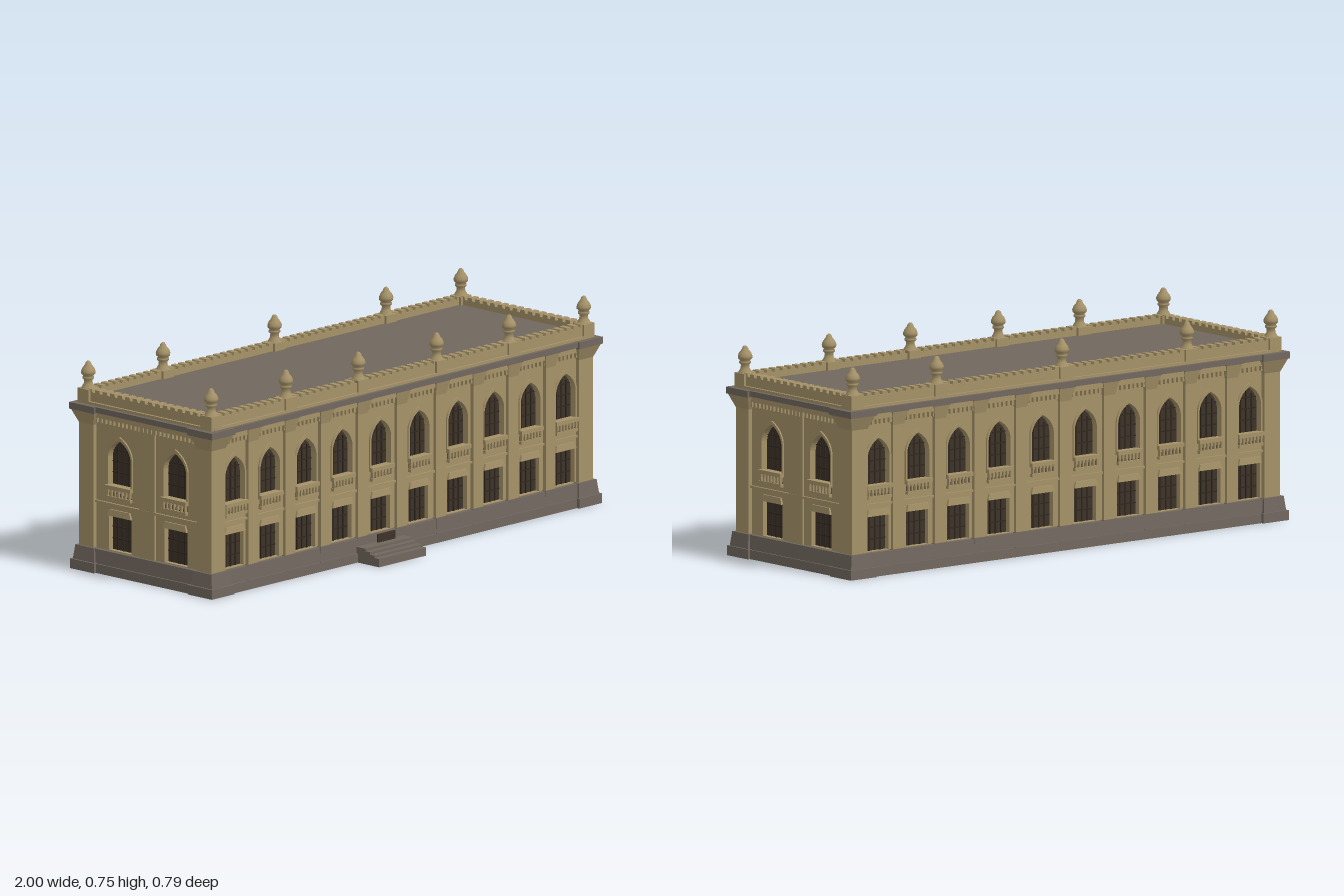
import * as THREE from 'three';

const mat = (name, color) => Object.assign(new THREE.MeshStandardMaterial({ color }), { name });
const sand = mat('sandstone', 0xa59268);
const stone = mat('grey stone', 0x71675f);
const dark = mat('dark window', 0x3d3228);
const bar = mat('window bars', 0x30271f);

const HX = 0.975, HZ = 0.3225, CZ = -0.0425; // half sizes at the pier faces, centre in z

function add(parent, name, geo, material, x = 0, y = 0, z = 0) {
  const m = new THREE.Mesh(geo, material);
  m.name = name;
  m.position.set(x, y, z);
  parent.add(m);
  return m;
}
// Box standing from y0 to y1
const box = (p, name, m, x, z, w, d, y0, y1) =>
  add(p, name, new THREE.BoxGeometry(w, y1 - y0, d), m, x, (y0 + y1) / 2, z);

// Box whose top is w1 x d1 and bottom w0 x d0
function taper(p, name, m, x, z, w0, d0, w1, d1, y0, y1) {
  const g = new THREE.BoxGeometry(1, y1 - y0, 1), a = g.attributes.position;
  for (let i = 0; i < a.count; i++) {
    const top = a.getY(i) > 0;
    a.setX(i, a.getX(i) * (top ? w1 : w0));
    a.setZ(i, a.getZ(i) * (top ? d1 : d0));
  }
  g.computeVertexNormals();
  return add(p, name, g, m, x, (y0 + y1) / 2, z);
}

// Pointed arch outline, or a plain rectangle when spring equals top
function opening(C, x, w, y0, spring, top) {
  const s = new C();
  s.moveTo(x - w, y0);
  s.lineTo(x + w, y0);
  s.lineTo(x + w, spring);
  if (top > spring) {
    s.quadraticCurveTo(x + w * 0.9, spring + (top - spring) * 0.65, x, top);
    s.quadraticCurveTo(x - w * 0.9, spring + (top - spring) * 0.65, x - w, spring);
  } else s.lineTo(x - w, spring);
  s.closePath();
  return s;
}
const extrude = (s, depth) => new THREE.ExtrudeGeometry(s, { depth, bevelEnabled: false, curveSegments: 8 });

// Pier with plinth, bracket and cornice block
function pier(p, x, z, w, d, out) {
  box(p, 'pier', sand, x, z, w, d, 0.08, 0.585);
  box(p, 'pierFoot', stone, x, z, w + out * 1.8, d + out * 1.8, 0, 0.035);
  taper(p, 'pierPlinth', stone, x, z, w + out * 1.2, d + out * 1.2, w + out * 0.7, d + out * 0.7, 0.035, 0.086);
  taper(p, 'pierBracket', sand, x, z, w, d, w + out * 1.6, d + out * 1.6, 0.53, 0.578);
  box(p, 'pierCornice', stone, x, z, w + out * 2, d + out * 2, 0.578, 0.602);
}

const finialGeo = new THREE.LatheGeometry([
  [0.025, 0], [0.022, 0.008], [0.016, 0.018], [0.015, 0.03], [0.021, 0.036], [0.021, 0.042], [0.017, 0.045],
  [0.025, 0.053], [0.026, 0.062], [0.021, 0.074], [0.012, 0.085], [0.01, 0.092], [0.005, 0.098], [0, 0.099],
].map(([r, y]) => new THREE.Vector2(r, y)), 14);
function finial(p, x, z) {
  box(p, 'finialPedestal', sand, x, z, 0.054, 0.054, 0.6, 0.654);
  add(p, 'finial', finialGeo, sand, x, 0.652, z);
}

// One bay: glazing, bars, arch moulding, small balustrade
function bay(p, x, w) {
  box(p, 'lowerGlass', dark, x, -0.037, w * 2, 0.006, 0.083, 0.212);
  box(p, 'upperGlass', dark, x, -0.037, w * 2, 0.006, 0.322, 0.492);
  for (const k of [-1, 0, 1]) {
    box(p, 'lowerBar', bar, x + k * w * 0.5, -0.033, 0.004, 0.006, 0.085, 0.21);
    box(p, 'upperBar', bar, x + k * w * 0.5, -0.033, 0.004, 0.006, 0.325, k ? 0.46 : 0.488);
  }
  for (const y of [0.125, 0.168, 0.365, 0.405, 0.445])
    box(p, 'crossBar', bar, x, -0.033, w * 1.9, 0.005, y, y + 0.004);
  const frame = opening(THREE.Shape, x, w + 0.007, 0.322, 0.428, 0.503);
  frame.holes.push(opening(THREE.Path, x, w, 0.323, 0.425, 0.49));
  add(p, 'archMoulding', extrude(frame, 0.007), sand, 0, 0, -0.016);
  taper(p, 'lowerLintel', sand, x, -0.012, w * 2.1, 0.012, w * 1.8, 0.006, 0.212, 0.235);
  // balustrade under the upper window
  box(p, 'sill', sand, x, -0.008, w * 2 + 0.014, 0.02, 0.31, 0.324);
  box(p, 'balustradeShadow', dark, x, -0.013, w * 2, 0.006, 0.284, 0.31);
  for (let i = 0; i < 7; i++)
    taper(p, 'baluster', sand, x + (i / 3 - 1) * w * 0.95, -0.007, 0.006, 0.01, 0.01, 0.012, 0.284, 0.311);
  box(p, 'balustradeFoot', sand, x, -0.009, w * 2 + 0.008, 0.016, 0.274, 0.285);
}

// One side of the building; local z = 0 is the pier face
function facade(name, length, bays, piers, pierW, w) {
  const g = new THREE.Group();
  g.name = name;
  const h = length / 2 - 0.03;
  const wall = new THREE.Shape([[-h, 0.08], [h, 0.08], [h, 0.585], [-h, 0.585]].map(a => new THREE.Vector2(...a)));
  for (const x of bays) {
    wall.holes.push(opening(THREE.Path, x, w, 0.086, 0.21, 0.21), opening(THREE.Path, x, w, 0.323, 0.425, 0.49));
    bay(g, x, w);
  }
  add(g, 'wall', extrude(wall, 0.028), sand, 0, 0, -0.043);
  for (const x of piers) pier(g, x, -0.017, pierW, 0.03, 0.013);
  // base, frieze, cornice
  box(g, 'foot', stone, 0, -0.02, h * 2, 0.064, 0, 0.033);
  taper(g, 'plinth', stone, 0, -0.025, h * 2, 0.062, h * 2, 0.054, 0.033, 0.084);
  box(g, 'stringCourse', sand, 0, -0.013, h * 2, 0.012, 0.25, 0.258);
  box(g, 'frieze', sand, 0, -0.015, h * 2, 0.034, 0.56, 0.582);
  box(g, 'cornice', stone, 0, -0.02, h * 2, 0.075, 0.582, 0.602);
  const n = Math.round(h * 2 / 0.02);
  for (let i = 0; i < n; i++)
    box(g, 'dentil', sand, -h + (i + 0.5) * h * 2 / n, -0.01, 0.011, 0.014, 0.541, 0.562);
  // parapet with merlons
  box(g, 'parapet', sand, 0, -0.023, length - 0.03, 0.036, 0.6, 0.645);
  box(g, 'parapetMoulding', sand, 0, -0.02, length - 0.02, 0.048, 0.6, 0.612);
  const c = Math.round(h * 2 / 0.036);
  for (let i = 0; i < c; i++)
    taper(g, 'merlon', sand, -h + (i + 0.5) * h * 2 / c, -0.023, 0.025, 0.036, 0.02, 0.036, 0.645, 0.656);
  return g;
}

export function createModel() {
  const model = new THREE.Group();
  model.name = 'palaceBuilding';
  const b = new THREE.Group();
  b.name = 'building';
  b.position.z = CZ;
  model.add(b);

  // Inner core and flat roof
  box(b, 'core', sand, 0, 0, HX * 2 - 0.08, HZ * 2 - 0.08, 0.001, 0.6);
  box(b, 'roof', stone, 0, 0, HX * 2 - 0.07, HZ * 2 - 0.07, 0.6, 0.625);
  box(b, 'underside', stone, 0, 0, HX * 2 - 0.02, HZ * 2 - 0.02, 0, 0.02);

  // Four facades
  const mirror = a => a.flatMap(v => [v, -v]);
  const longBays = mirror([0.098, 0.295, 0.48, 0.665, 0.845]);
  const longPiers = [0, ...mirror([0.2, 0.39, 0.57, 0.76])];
  for (const s of [1, -1]) {
    const long = facade(s > 0 ? 'frontFacade' : 'backFacade', HX * 2, longBays, longPiers, 0.05, 0.05);
    long.position.z = s * HZ;
    long.rotation.y = s > 0 ? 0 : Math.PI;
    const side = facade(s > 0 ? 'leftFacade' : 'rightFacade', HZ * 2, [-0.135, 0.135], [], 0.07, 0.055);
    box(side, 'centrePier', sand, 0, -0.015, 0.075, 0.014, 0.08, 0.57);
    side.position.x = s * HX;
    side.rotation.y = s * Math.PI / 2;
    b.add(long, side);
    // Corner piers and finials
    for (const t of [1, -1]) {
      pier(b, s * (HX - 0.036), t * (HZ - 0.036), 0.072, 0.072, 0.025);
      finial(b, s * 0.952, t * 0.2985);
    }
  }
  for (const x of mirror([0.2, 0.57])) finial(b, x, 0.2985);
  for (const x of [-0.57, 0, 0.57]) finial(b, x, -0.2985);

  // Entrance door and steps
  box(model, 'doorFoot', dark, -0.098, 0.295, 0.09, 0.006, 0.055, 0.086);
  [[0.395, 0.03], [0.372, 0.038], [0.35, 0.047], [0.328, 0.056]].forEach(([z, y]) =>
    box(model, 'step', stone, -0.12, (z + 0.25) / 2, 0.24, z - 0.25, 0, y));
  return model;
}
